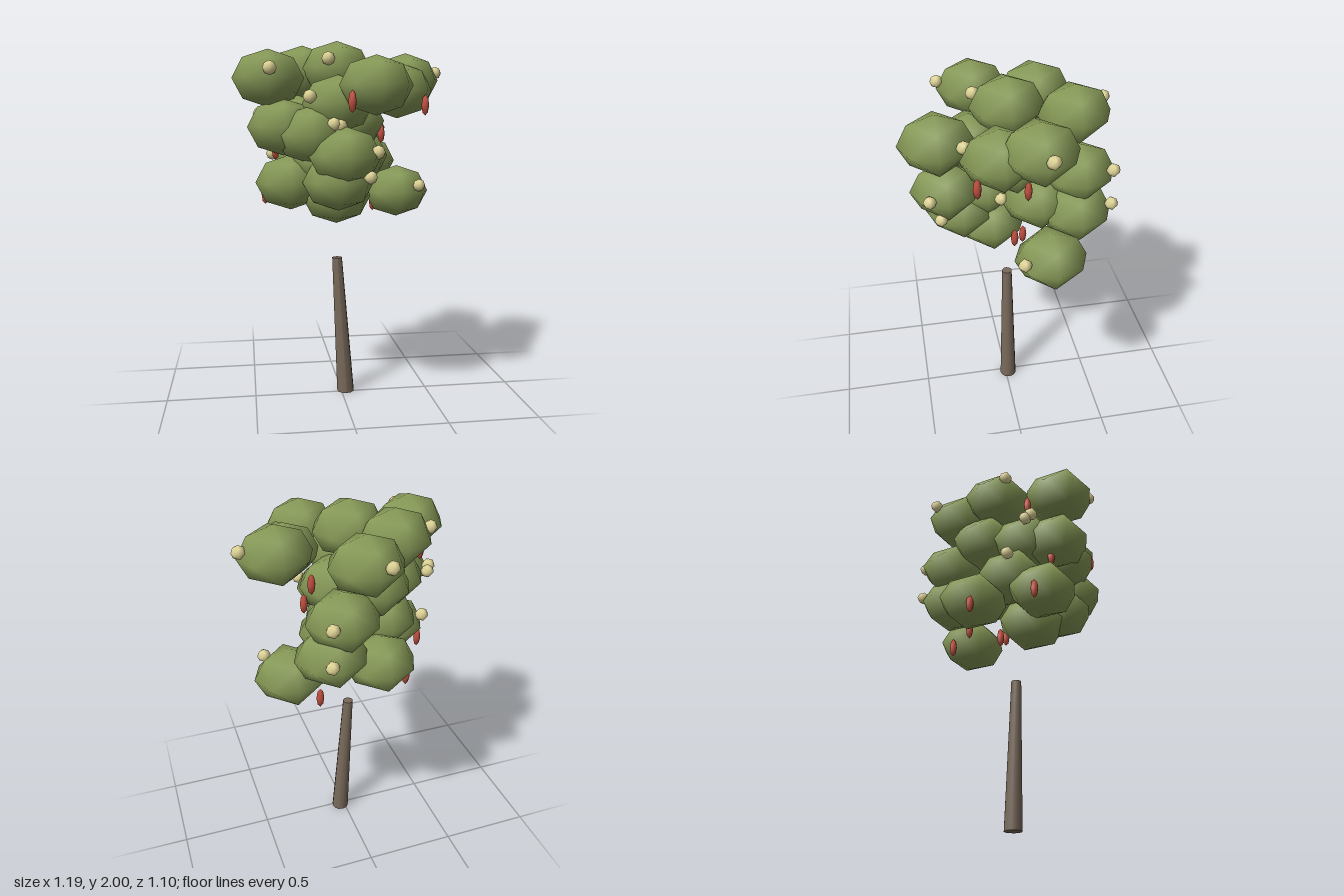
import * as THREE from 'three';

const material = (name, color) => {
  const m = new THREE.MeshStandardMaterial({ color });
  m.name = name;
  return m;
};

export function createModel() {
  const tree = new THREE.Group();
  tree.name = 'fruitTree';
  const leaf = material('leafGreen', 0x879a57);
  const bark = material('barkBrown', 0x78695a);
  const cream = material('creamBlossom', 0xe2d798);
  const red = material('podRed', 0xc4513f);

  // Leaning, tapered trunk
  const trunkGeo = new THREE.CylinderGeometry(0.028, 0.049, 0.8, 12);
  trunkGeo.translate(0, 0.4, 0);
  const p = trunkGeo.attributes.position;
  for (let i = 0; i < p.count; i++) {
    p.setX(i, p.getX(i) + 0.025 - 0.062 * p.getY(i));
  }
  trunkGeo.computeVertexNormals();
  const trunk = new THREE.Mesh(trunkGeo, bark);
  trunk.name = 'trunk';
  trunk.position.z = -0.015;
  tree.add(trunk);

  // Every crown part is a once-divided octahedron, squashed or stretched
  const blob = new THREE.OctahedronGeometry(1, 1);
  const scatter = (name, mat, rx, ry, places) => {
    const group = new THREE.Group();
    group.name = name + 's';
    for (const [x, y, z] of places) {
      const mesh = new THREE.Mesh(blob, mat);
      mesh.name = name;
      mesh.position.set(x, y, z);
      mesh.scale.set(rx, ry, rx);
      group.add(mesh);
    }
    tree.add(group);
  };

  // Leaf clumps, from the top layer down
  scatter('leafClump', leaf, 0.19, 0.15, [
    [-0.025, 1.85, -0.01],
    [-0.2, 1.84, -0.185],
    [-0.405, 1.793, 0.115],
    [0.377, 1.797, -0.093],
    [0.008, 1.797, -0.35],
    [0.125, 1.75, 0.36],
    [0.295, 1.735, 0.08],
    [-0.045, 1.66, 0.18],
    [-0.08, 1.62, -0.22],
    [0.055, 1.57, -0.03],
    [0.125, 1.53, -0.355],
    [-0.33, 1.54, 0.115],
    [-0.24, 1.56, -0.025],
    [-0.19, 1.5, 0.205],
    [-0.025, 1.395, 0.315],
    [-0.09, 1.36, 0.1],
    [0.1, 1.37, -0.15],
    [-0.18, 1.36, -0.09],
    [0.18, 1.33, -0.335],
    [-0.05, 1.255, 0.235],
    [-0.29, 1.24, 0.05],
    [-0.1, 1.215, -0.29],
    [-0.04, 1.163, 0.075],
    [0.35, 1.16, -0.175],
  ]);

  // Round blossoms on the clump surfaces
  scatter('blossom', cream, 0.036, 0.036, [
    [-0.405, 1.835, 0.3],
    [-0.092, 1.895, 0.15],
    [-0.203, 1.695, 0.287],
    [0.265, 1.79, 0.243],
    [0.555, 1.84, -0.115],
    [-0.055, 1.84, -0.515],
    [0.225, 1.57, -0.51],
    [0.23, 1.375, -0.515],
    [-0.385, 1.875, -0.195],
    [-0.435, 1.59, -0.095],
    [-0.45, 1.61, -0.07],
    [-0.377, 1.385, -0.18],
    [0.45, 1.205, -0.02],
    [0.128, 1.418, 0.41],
    [0.1, 1.287, 0.355],
    [-0.085, 1.555, 0.32],
    [-0.05, 1.55, 0.31],
    [0.105, 1.385, 0.04],
  ]);

  // Slim pods hanging under the clumps
  scatter('pod', red, 0.021, 0.055, [
    [-0.015, 1.667, 0.475],
    [0.418, 1.655, 0.205],
    [0.22, 1.645, -0.162],
    [0.237, 1.5, -0.075],
    [-0.4, 1.705, -0.07],
    [-0.37, 1.42, 0.075],
    [-0.425, 1.165, -0.045],
    [-0.23, 1.13, -0.34],
    [0.235, 1.08, -0.32],
    [0.135, 1.16, -0.25],
    [0.125, 1.14, -0.03],
    [0, 1.07, -0.1],
  ]);

  return tree;
}
